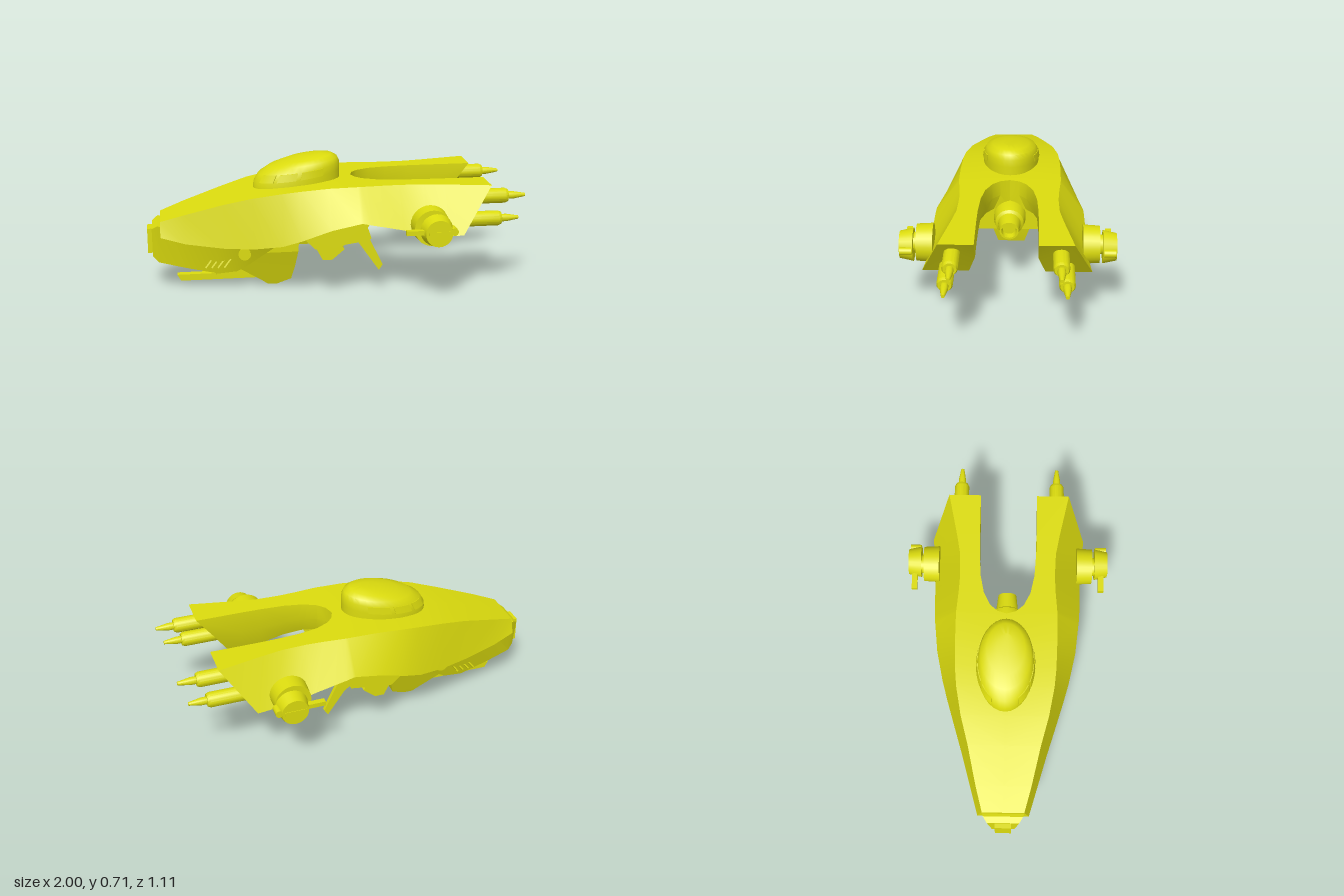
import * as THREE from 'three';
import { toCreasedNormals } from 'three/addons/utils/BufferGeometryUtils.js';

const paint = new THREE.MeshStandardMaterial({ color: 0xdcdc0e });
paint.name = 'yellow paint';

// Skin a list of equal-length rings of [x, y, z], cap both ends, face outwards
function loft(rings, crease = 0.5) {
  const n = rings[0].length, tris = [];
  for (let i = 0; i < rings.length - 1; i++) {
    for (let j = 0; j < n; j++) {
      const k = (j + 1) % n, p = rings[i], q = rings[i + 1];
      tris.push([p[j], q[j], q[k]], [p[j], q[k], p[k]]);
    }
  }
  const first = rings[0], last = rings[rings.length - 1];
  for (let j = 2; j < n; j++) {
    tris.push([first[1], first[j], first[(j + 1) % n]]);
    tris.push([last[1], last[(j + 1) % n], last[j]]);
  }
  let volume = 0;
  for (const [a, b, c] of tris) {
    volume += a[0] * (b[1] * c[2] - b[2] * c[1]) - a[1] * (b[0] * c[2] - b[2] * c[0]) + a[2] * (b[0] * c[1] - b[1] * c[0]);
  }
  if (volume < 0) tris.forEach((t) => t.reverse());
  const geo = new THREE.BufferGeometry();
  geo.setAttribute('position', new THREE.Float32BufferAttribute(tris.flat(2), 3));
  return toCreasedNormals(geo, crease);
}

export function createModel() {
  const model = new THREE.Group();
  model.name = 'hoverCraft';

  const add = (name, geo, x = 0, y = 0, z = 0) => {
    const mesh = new THREE.Mesh(geo, paint);
    mesh.name = name;
    mesh.position.set(x, y, z);
    model.add(mesh);
    return mesh;
  };
  const box = (name, x0, x1, y0, y1, z, width) =>
    add(name, new THREE.BoxGeometry(x1 - x0, y1 - y0, width), (x0 + x1) / 2, (y0 + y1) / 2, z);
  // Plate with an outline in x and y, centred on z
  const plate = (name, points, z, width) => {
    const shape = new THREE.Shape(points.map(([x, y]) => new THREE.Vector2(x, y)));
    const geo = new THREE.ExtrudeGeometry(shape, { depth: width, bevelEnabled: false });
    geo.translate(0, 0, -width / 2);
    return add(name, geo, 0, 0, z);
  };
  // Turned part along x, profile as [radius, x]
  const turned = (name, profile, y, z) => {
    const geo = new THREE.LatheGeometry(profile.map(([r, x]) => new THREE.Vector2(r, x)), 24);
    geo.rotateZ(-Math.PI / 2);
    return add(name, toCreasedNormals(geo, 0.5), 0, y, z);
  };
  // Turned part along z
  const disc = (name, r0, r1, x, y, z, depth, s = 1) => {
    const geo = new THREE.CylinderGeometry(r1, r0, depth, 28);
    geo.rotateX(s * Math.PI / 2);
    return add(name, geo, x, y, z * s);
  };

  // Upper hull halves: x, top y, bottom y, inner z, top edge z, outer z
  const stations = [
    [-0.93, 0.39, 0.31, 0, 0.11, 0.135],
    [-0.8, 0.433, 0.28, 0, 0.145, 0.17],
    [-0.6, 0.493, 0.265, 0, 0.19, 0.225],
    [-0.45, 0.532, 0.268, 0, 0.23, 0.27],
    [-0.3, 0.558, 0.29, 0, 0.257, 0.315],
    [-0.2, 0.57, 0.325, 0, 0.266, 0.343],
    [-0.05, 0.582, 0.385, 0, 0.27, 0.375],
    [0.1, 0.585, 0.42, 0, 0.27, 0.39],
    [0.115, 0.585, 0.42, 0.05, 0.269, 0.392],
    [0.15, 0.585, 0.413, 0.09, 0.266, 0.395],
    [0.22, 0.585, 0.4, 0.125, 0.26, 0.398],
    [0.32, 0.585, 0.38, 0.145, 0.255, 0.4],
    [0.45, 0.585, 0.345, 0.153, 0.26, 0.405],
    [0.56, 0.585, 0.345, 0.155, 0.28, 0.415],
  ];
  const section = (s, xt, xb, [, yt, yb, zi, ze, zo]) => [
    [xt, yt, s * zi], [xt, yt, s * ze], [xb, yb, s * zo],
    [xb, yb, s * (zi ? zi + 0.035 : 0)],
    [xb + (xt - xb) * 0.45, (yt + yb) / 2, s * zi],
  ];
  for (const s of [1, -1]) {
    const rings = stations.map((st) => section(s, st[0], st[0], st));
    rings.push(section(s, 0.8, 0.635, [0, 0.585, 0.345, 0.155, 0.33, 0.424]));
    add('upperHull', loft(rings));
  }

  // Lower hull: x, top y, bottom y, top half width, bottom half width
  const lower = [
    [-0.975, 0.345, 0.185, 0.085, 0.06],
    [-0.945, 0.365, 0.155, 0.105, 0.075],
    [-0.8, 0.34, 0.125, 0.145, 0.1],
    [-0.63, 0.31, 0.092, 0.175, 0.12],
    [-0.53, 0.31, 0.1, 0.185, 0.12],
    [-0.46, 0.31, 0.14, 0.185, 0.125],
    [-0.3, 0.33, 0.25, 0.18, 0.14],
  ];
  add('lowerHull', loft(lower.map(([x, yt, yb, zt, zb]) =>
    [[x, yt, -zt], [x, yt, zt], [x, yb, zb], [x, yb, -zb]]), 0.3));
  box('nosePlate', -1, -0.97, 0.2, 0.335, 0, 0.085);

  // Keel block: y, front x, rear x, half width
  const keel = [
    [0.35, -0.36, -0.19, 0.135], [0.2, -0.46, -0.2, 0.13], [0.11, -0.52, -0.215, 0.1],
    [0.03, -0.4, -0.235, 0.075], [0, -0.36, -0.31, 0.065],
  ];
  add('keel', loft(keel.map(([y, a, b, z]) => [[a, y, -z], [a, y, z], [b, y, z], [b, y, -z]]), 0.2));

  // Belly and the tapered pod under the engine
  box('belly', -0.28, 0.1, 0.29, 0.46, 0, 0.4);
  const pod = [[0.37, -0.24, 0.09, 0.145], [0.33, -0.24, 0.07, 0.11], [0.225, -0.22, -0.03, 0.08]];
  add('bellyPod', loft(pod.map(([y, a, b, z]) => [[a, y, -z], [a, y, z], [b, y, z], [b, y, -z]]), 0.2));

  // Main engine
  turned('mainEngine', [[0, 0], [0.085, 0], [0.085, 0.14], [0.075, 0.19], [0.06, 0.2],
    [0.05, 0.285], [0.04, 0.285], [0.035, 0.25], [0, 0.25]], 0.378, 0);

  // Chin gun
  plate('chinGun', [[-0.85, 0.06], [-0.83, 0.025], [-0.42, 0.025], [-0.42, 0.06]], 0, 0.04);
  plate('chinGunMount', [[-0.64, 0.075], [-0.64, 0.035], [-0.42, 0.035], [-0.42, 0.1], [-0.5, 0.08]], 0, 0.07);

  // Canopy rings: front x, rear x, front y, rear y, half width
  const bands = [
    [-0.43, 0.04, 0.53, 0.56, 0.15], [-0.425, 0.04, 0.57, 0.63, 0.152], [-0.4, 0.038, 0.612, 0.668, 0.146],
    [-0.345, 0.026, 0.648, 0.695, 0.132], [-0.27, -0.005, 0.675, 0.712, 0.1], [-0.18, -0.06, 0.698, 0.714, 0.045],
  ];
  const onRing = ([x0, x1, y0, y1, w], a, grow = 1) => {
    const c = Math.cos(a), t = (1 + c) / 2;
    return [(x0 + x1) / 2 + grow * c * (x1 - x0) / 2, y0 + t * (y1 - y0), grow * w * Math.sin(a)];
  };
  add('canopy', loft(bands.map((b) =>
    Array.from({ length: 32 }, (_, i) => onRing(b, i * Math.PI / 16))), 0.7));
  // Canopy windows
  const sill = bands[1], head = bands[2];
  for (const s of [1, -1]) {
    for (const [a0, a1] of [[1.0, 1.55], [1.65, 2.1], [2.2, 2.65]]) {
      const rings = Array.from({ length: 6 }, (_, i) => {
        const a = s * (a0 + (a1 - a0) * i / 5);
        return [onRing(sill, a, 0.985), onRing(sill, a, 1.02), onRing(head, a, 1.02), onRing(head, a, 0.985)];
      });
      add('canopyWindow', loft(rings));
    }
  }

  for (const s of [1, -1]) {
    // Rear gun pods
    for (const [y, z, x] of [[0.51, 0.265, 0.905], [0.395, 0.295, 0.865]]) {
      turned('rearGun', [[0, 0.6], [0.04, 0.6], [0.04, x - 0.015], [0.033, x], [0.02, x],
        [0.02, x + 0.03], [0.009, x + 0.095], [0, x + 0.095]], y, s * z);
    }

    // Side turret
    disc('turretBase', 0.1, 0.095, 0.46, 0.405, 0.422, 0.085, s);
    disc('turretNeck', 0.05, 0.05, 0.46, 0.405, 0.475, 0.04, s);
    disc('turretHead', 0.085, 0.07, 0.475, 0.4, 0.515, 0.07, s);
    disc('turretHub', 0.02, 0.02, 0.555, 0.405, 0.515, 0.06, s);
    box('turretBarrel', 0.31, 0.5, 0.39, 0.414, s * 0.515, 0.03);
    box('turretRib', 0.42, 0.53, 0.393, 0.411, s * 0.545, 0.016);

    // Underside pylon, foot and fin
    plate('pylon', [[-0.2, 0.34], [-0.13, 0.27], [-0.02, 0.27], [0.03, 0.29], [0.1, 0.3],
      [0.17, 0.42], [-0.1, 0.42]], s * 0.26, 0.12);
    plate('pylonFoot', [[-0.13, 0.28], [-0.09, 0.205], [-0.04, 0.205], [0.025, 0.26], [0.0, 0.3]], s * 0.265, 0.08);
    plate('finRoot', [[0.07, 0.38], [0.09, 0.3], [0.13, 0.27], [0.17, 0.31], [0.14, 0.4]], s * 0.262, 0.055);
    plate('fin', [[0.09, 0.34], [0.1, 0.29], [0.215, 0.125], [0.235, 0.155], [0.14, 0.35]], s * 0.262, 0.022);

    // Lower hull port and vent slats
    disc('sidePort', 0.035, 0.033, -0.49, 0.207, 0.145, 0.04, s);
    for (let i = 0; i < 4; i++) {
      const slat = box('ventSlat', -0.03, 0.03, -0.004, 0.004, 0, 0.008);
      slat.position.set(-0.68 + i * 0.033, 0.155, s * (0.131 + i * 0.003));
      slat.rotation.set(s * -0.25, s * -0.1, 0.9);
    }
  }
  return model;
}
